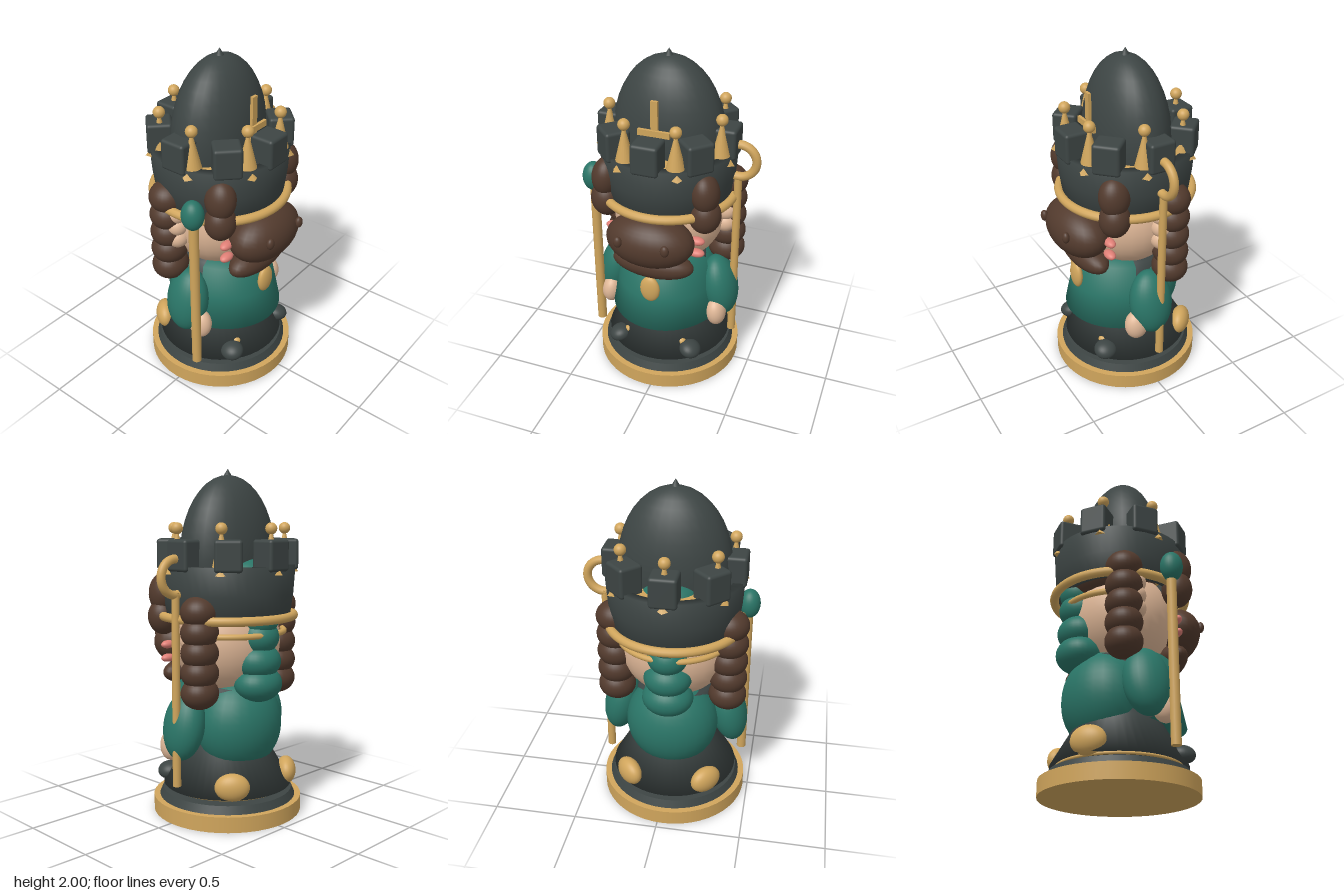
import * as THREE from 'three';
import { RoundedBoxGeometry } from 'three/addons/geometries/RoundedBoxGeometry.js';

const mat = (c) => new THREE.MeshStandardMaterial({ color: c, side: THREE.DoubleSide });
const dark = mat(0x3d4544), gold = mat(0xd0a55c), teal = mat(0x2a7567), brown = mat(0x523a2d);
const skin = mat(0xdfb797), pink = mat(0xe07f76);

export function createModel() {
  const model = new THREE.Group();
  const body = new THREE.Group();
  body.name = 'figure';
  body.position.set(-0.032, 0, -0.02);
  model.add(body);

  const add = (name, geo, m, x = 0, y = 0, z = 0) => {
    const mesh = new THREE.Mesh(geo, m);
    mesh.name = name;
    mesh.position.set(x, y, z);
    body.add(mesh);
    return mesh;
  };
  const ball = (name, m, p, r, rz = 0, ry = 0) => {
    const mesh = add(name, new THREE.SphereGeometry(1, 28, 20), m, ...p);
    mesh.scale.set(...r);
    mesh.rotation.set(0, ry, rz);
    return mesh;
  };
  const pair = (name, m, [x, y, z], r, rz = 0, ry = 0) => {
    ball(name + 'Left', m, [x, y, z], r, rz, ry);
    ball(name + 'Right', m, [-x, y, z], r, -rz, -ry);
  };
  const lathe = (name, m, pts, start = 0, sweep = Math.PI * 2) =>
    add(name, new THREE.LatheGeometry(pts.map((p) => new THREE.Vector2(...p)), 48, start, sweep), m);
  const ring = (name, m, r, t, y, arc = Math.PI * 2) => {
    const mesh = add(name, new THREE.TorusGeometry(r, t, 12, 64, arc), m, 0, y, 0);
    mesh.rotation.x = -Math.PI / 2;
    return mesh;
  };

  // Stepped base
  add('base', new THREE.CylinderGeometry(0.44, 0.44, 0.09, 48), gold, 0, 0.045, 0);
  add('baseStep', new THREE.CylinderGeometry(0.385, 0.405, 0.045, 48), dark, 0, 0.113, 0);
  add('baseCollar', new THREE.CylinderGeometry(0.28, 0.3, 0.04, 40), dark, 0, 0.15, 0);

  // Flared robe and front tunic panel
  lathe('robe', dark, [[0, 0.165], [0.38, 0.165], [0.245, 0.4], [0.23, 0.6], [0.22, 0.76], [0, 0.8]]);
  ring('robeHem', gold, 0.345, 0.009, 0.158);
  const half = 1.3;
  const tunic = lathe('tunicFront', teal, [[0.23, 0.39], [0.38, 0.39], [0.34, 0.58], [0.3, 0.77], [0.2, 0.78]], -half, half * 2);
  tunic.scale.x = 0.9;
  ball('pendant', gold, [0, 0.655, 0.335], [0.06, 0.085, 0.03]);

  // Feet, buckles and rear knobs
  pair('shoe', dark, [0.228, 0.215, 0.27], [0.066, 0.05, 0.07], -0.3);
  pair('shoeBuckle', gold, [0.17, 0.25, 0.255], [0.03, 0.025, 0.03]);
  pair('rearKnob', gold, [0.232, 0.232, -0.265], [0.1, 0.08, 0.058], 0, -Math.PI / 4);

  // Arms and hands
  pair('arm', teal, [0.332, 0.555, 0.02], [0.106, 0.2, 0.132], 0.2);
  pair('hand', skin, [0.34, 0.425, 0.12], [0.06, 0.09, 0.072], 0.1);

  // Rounded pack and the plait hanging above it
  ball('backpack', teal, [0, 0.535, -0.09], [0.275, 0.285, 0.237]);
  [[1.4, 0.16, -0.18], [1.27, 0.115, -0.22], [1.16, 0.11, -0.235], [1.06, 0.12, -0.235], [0.92, 0.138, -0.24], [0.79, 0.148, -0.245]]
    .forEach(([y, r, z]) => ball('backPlait', teal, [0, y, z], [r, 0.105, 0.13]));

  // Head, ears and hair
  ball('head', skin, [0, 1.02, 0], [0.33, 0.32, 0.295]);
  ball('hairCap', brown, [0, 1.21, -0.06], [0.31, 0.13, 0.27]);
  for (const y of [1.13, 1.05, 0.97]) pair('ear', skin, [0.33, y, -0.04], [0.065, 0.06, 0.06]);
  for (let i = 0; i < 5; i++) pair('sideBraid', brown, [0.328, 1.215 - i * 0.113, -0.107], [0.11, 0.092, 0.104]);
  pair('tuftUpper', brown, [0.29, 1.3, 0.235], [0.08, 0.115, 0.09], 0.1);
  pair('tuftLower', brown, [0.292, 1.16, 0.235], [0.09, 0.105, 0.088], -0.1);

  // Face
  ball('snout', brown, [0, 0.99, 0.32], [0.258, 0.157, 0.16]);
  ball('chin', brown, [0, 0.81, 0.28], [0.245, 0.088, 0.1]);
  pair('nostril', brown, [0.137, 1.03, 0.459], [0.025, 0.034, 0.021]);
  for (const y of [0.99, 0.91]) pair('lip', pink, [0.25, y, 0.245], [0.047, 0.024, 0.03]);

  // Crown wall, floor and rims
  lathe('crownWall', dark, [[0.32, 1.17], [0.365, 1.17], [0.382, 1.3], [0.393, 1.46], [0.338, 1.46], [0.32, 1.17]]);
  add('crownFloor', new THREE.CylinderGeometry(0.345, 0.335, 0.02, 48), gold, 0, 1.435, 0);
  ring('crownRim', gold, 0.385, 0.026, 1.17);
  ring('napeBand', gold, 0.33, 0.017, 1.078, Math.PI);

  // Eight battlements
  for (let i = 0; i < 8; i++) {
    const a = (i * Math.PI) / 4;
    const block = add('battlement', new RoundedBoxGeometry(0.155, 0.175, 0.142, 3, 0.018), dark,
      Math.sin(a) * 0.333, 1.52, Math.cos(a) * 0.333);
    block.rotation.y = a;
  }

  // Seven ball-tipped spikes, the first at the back
  for (let i = 0; i < 7; i++) {
    const a = Math.PI + (i * Math.PI * 2) / 7;
    const x = Math.sin(a) * 0.333, z = Math.cos(a) * 0.333;
    add('spike', new THREE.ConeGeometry(0.06, 0.25, 20), gold, x, 1.55, z);
    const foot = add('spikeFoot', new THREE.ConeGeometry(0.085, 0.11, 4), gold, x, 1.47, z);
    foot.rotation.y = a;
    ball('spikeBall', gold, [x, 1.667, z], [0.033, 0.033, 0.033]);
  }

  // Dome with tip and front ornament
  ball('dome', dark, [0, 1.5, -0.005], [0.323, 0.465, 0.222]);
  add('domeTip', new THREE.ConeGeometry(0.03, 0.05, 16), dark, 0, 1.975, 0);
  add('ornamentPost', new THREE.BoxGeometry(0.04, 0.34, 0.018), gold, 0, 1.62, 0.228);
  add('ornamentBar', new THREE.BoxGeometry(0.18, 0.035, 0.018), gold, 0, 1.61, 0.24);

  // Staff with round head
  add('staff', new THREE.CylinderGeometry(0.028, 0.028, 0.97, 20), gold, -0.408, 0.685, 0.145);
  ball('staffHead', teal, [-0.413, 1.23, 0.145], [0.062, 0.088, 0.065]);

  // Crook with curled top
  add('crook', new THREE.CylinderGeometry(0.022, 0.024, 1.1, 20), gold, 0.408, 0.77, 0);
  const curl = add('crookCurl', new THREE.TorusGeometry(0.098, 0.025, 12, 32, Math.PI * 1.15), gold, 0.41, 1.405, 0.002);
  curl.rotation.z = -Math.PI * 0.575;

  return model;
}
